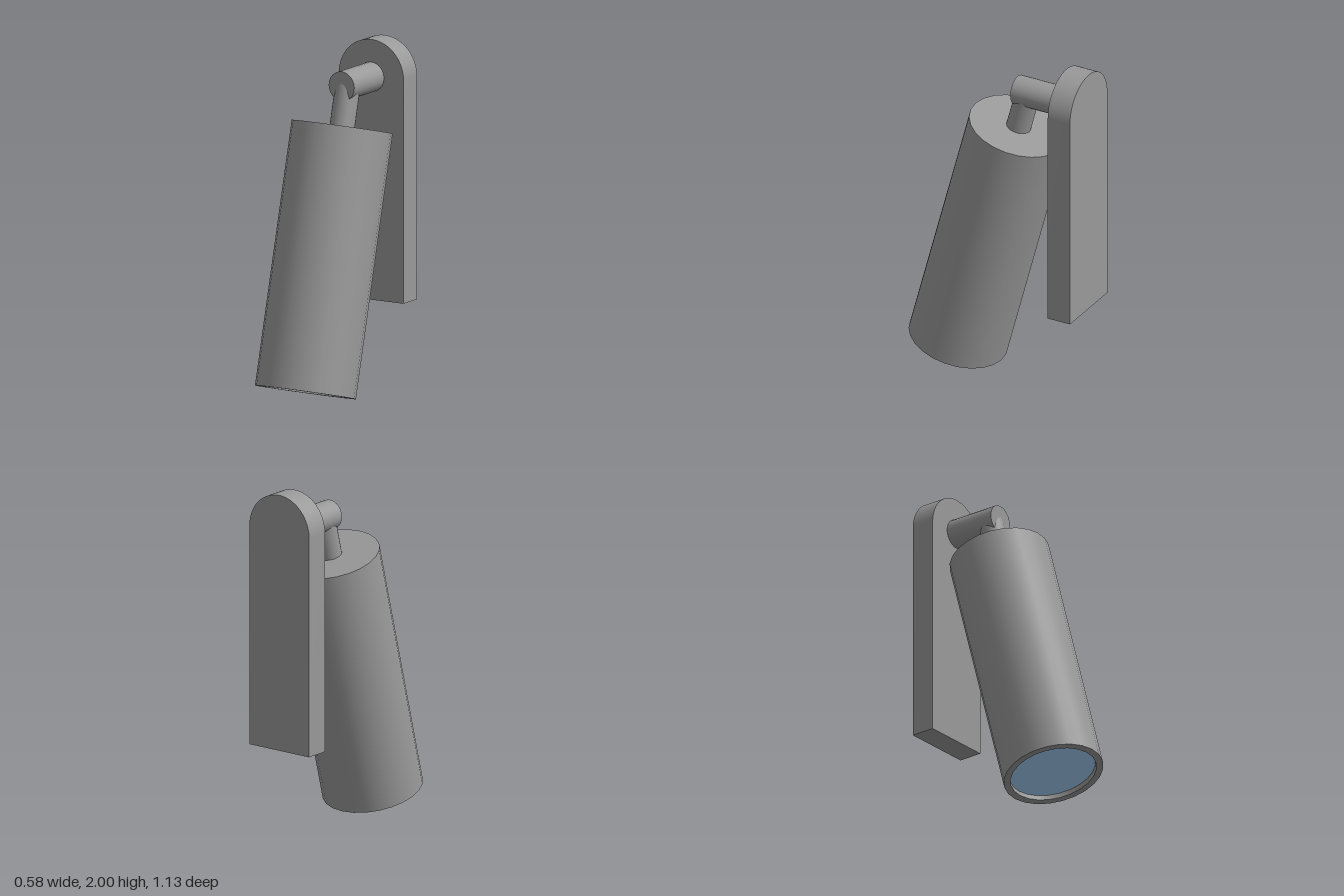
import * as THREE from 'three';
import { toCreasedNormals } from 'three/addons/utils/BufferGeometryUtils.js';

const SEGMENTS = 24;
const PIVOT_Y = 1.785;

export function createModel() {
  const model = new THREE.Group();
  model.name = 'wallSpotlight';
  const metal = new THREE.MeshStandardMaterial({ color: 0x999999 });
  const glass = new THREE.MeshStandardMaterial({ color: 0xaad4ff });

  const add = (parent, name, geometry, material = metal) => {
    const mesh = new THREE.Mesh(geometry, material);
    mesh.name = name;
    parent.add(mesh);
    return mesh;
  };

  // Wall plate: square foot, half-round top
  const half = 0.217;
  const outline = new THREE.Shape();
  outline.moveTo(-half, 0.49);
  outline.lineTo(half, 0.49);
  outline.lineTo(half, PIVOT_Y);
  outline.absarc(0, PIVOT_Y, half, 0, Math.PI, false);
  outline.closePath();
  const plate = new THREE.ExtrudeGeometry(outline, { depth: 0.145, bevelEnabled: false, curveSegments: 24 });
  add(model, 'wallPlate', toCreasedNormals(plate, 0.6)).position.z = -0.566;

  // Horizontal arm from the plate to the joint
  const arm = add(model, 'arm', new THREE.CylinderGeometry(0.086, 0.086, 0.322, SEGMENTS));
  arm.rotation.x = Math.PI / 2;
  arm.position.set(0, PIVOT_Y, -0.263);

  // Tilted lamp head, origin at the centre of its top face
  const head = new THREE.Group();
  head.name = 'lampHead';
  head.position.set(0, 1.55, -0.109);
  head.rotation.x = -Math.PI / 12;
  model.add(head);

  // Neck running up into the arm
  const neckLength = 0.243;
  add(head, 'neck', new THREE.CylinderGeometry(0.072, 0.072, neckLength, SEGMENTS)).position.y = neckLength / 2;

  // Housing with a recessed opening at the bottom
  const length = 1.525, radius = 0.29, opening = 0.25, recess = 0.03;
  const profile = [
    [opening, recess - length], [opening, -length], [radius, -length], [radius, 0], [0, 0],
  ].map(([r, y]) => new THREE.Vector2(r, y));
  add(head, 'housing', toCreasedNormals(new THREE.LatheGeometry(profile, SEGMENTS), 0.6));

  // Lens closing the recess, facing down
  const lens = add(head, 'lens', new THREE.CircleGeometry(opening, SEGMENTS), glass);
  lens.rotation.x = Math.PI / 2;
  lens.position.y = recess - length;

  return model;
}
